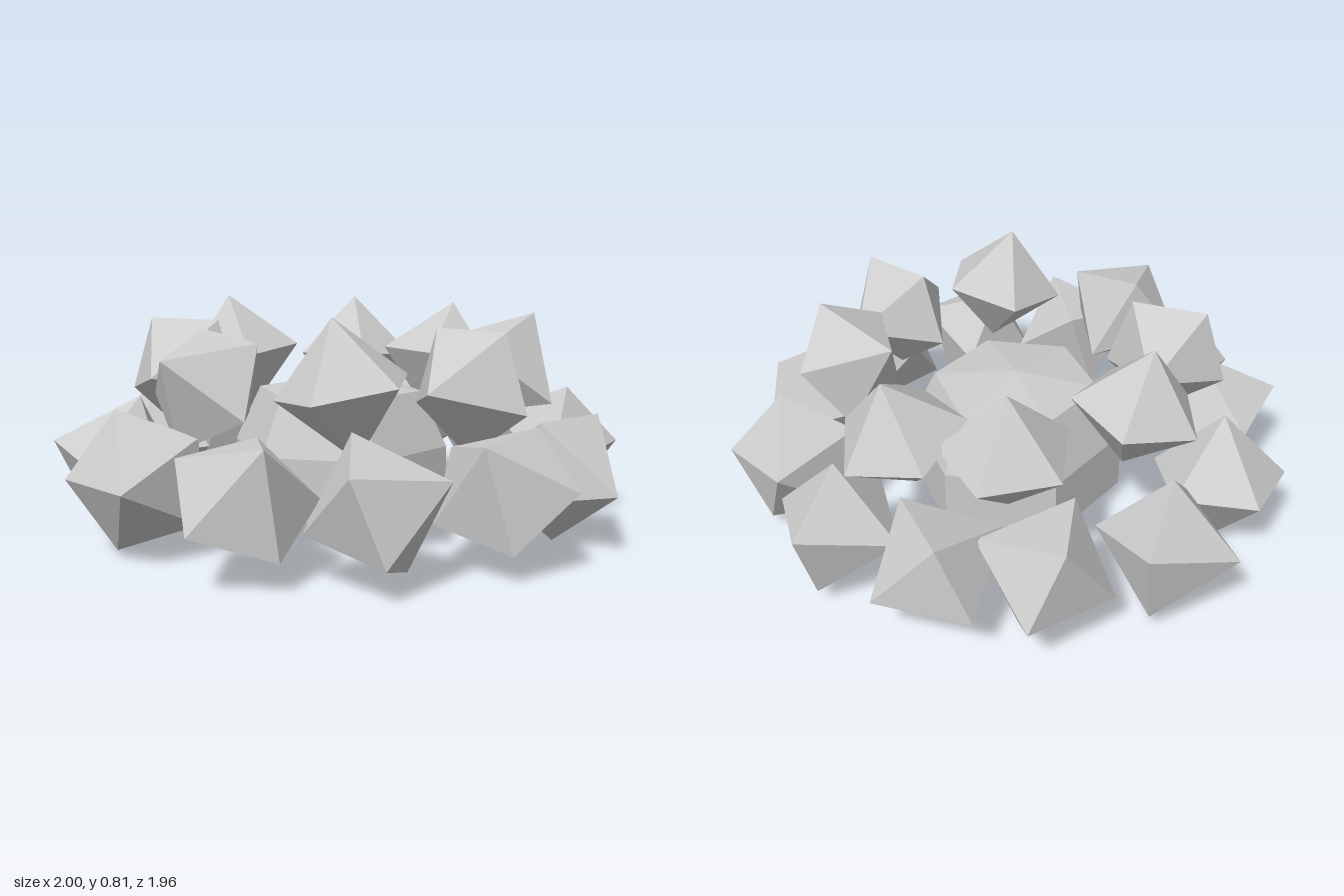
import * as THREE from 'three';

export function createModel() {
  const group = new THREE.Group();
  const stone = new THREE.MeshStandardMaterial({ color: 0xcccccc, flatShading: true });
  stone.name = 'stone grey';

  // Each stone is a five-sided bipyramid: centre, pole direction, one belt corner direction
  const stoneGeo = new THREE.SphereGeometry(1, 5, 2);
  function addStone(parent, name, r, [cx, cy, cz, px, py, pz, ex, ey, ez]) {
    const pole = new THREE.Vector3(px, py, pz).normalize();
    const side = new THREE.Vector3(-ex, -ey, -ez);
    side.addScaledVector(pole, -side.dot(pole)).normalize();
    const third = new THREE.Vector3().crossVectors(side, pole);
    const mesh = new THREE.Mesh(stoneGeo, stone);
    mesh.name = name;
    mesh.quaternion.setFromRotationMatrix(new THREE.Matrix4().makeBasis(side, pole, third));
    mesh.position.set(cx, cy, cz);
    mesh.scale.setScalar(r);
    parent.add(mesh);
  }

  // Outer ring, twelve stones on the ground
  const lower = [
    [-0.755, 0.26, -0.185, 0, 1, 0.1, -0.22, 0, 0.05],
    [-0.755, 0.26, 0.275, 0.07, 0.22, -0.02, -0.21, 0.07, 0.03],
    [-0.58, 0.265, 0.58, 0.1, 0.03, 1, -1, 0, 0],
    [-0.18, 0.27, 0.78, 0.095, 0.18, 0.14, -0.135, -0.09, 0.18],
    [0.225, 0.25, 0.77, 0.225, 0.09, 0, 0, 0, -1],
    [0.595, 0.27, 0.535, -0.05, 0.16, 0.17, 0.04, -0.175, 0.17],
    [0.79, 0.25, 0.195, 0.19, -0.04, 0.18, -0.05, -0.23, -0.05],
    [0.76, 0.27, -0.25, 0, 0.07, -0.22, 0.215, 0.02, 0],
    [0.53, 0.27, -0.58, 0.22, 0, 0.1, 0, 1, 0],
    [0.17, 0.27, -0.755, 0.185, -0.07, -0.11, -0.03, 0.19, -0.15],
    [-0.18, 0.28, -0.755, 0.22, 0.09, 0.01, -0.06, 0.2, -0.15],
    [-0.565, 0.27, -0.58, 0.21, 0, 0.06, 0, 1, 0.1],
  ];
  // Inner ring, eight stones resting on top
  const upper = [
    [-0.45, 0.59, -0.27, -0.04, 0.22, 0, 0.21, 0, -0.02],
    [-0.55, 0.57, 0.13, 0.05, 0, -0.2, 0, -1, 0],
    [-0.38, 0.56, 0.46, -0.095, 0.1, 0.17, 0.18, 0.13, -0.01],
    [0.1, 0.58, 0.585, -0.04, 0.23, 0.01, -0.22, -0.04, 0],
    [0.48, 0.565, 0.36, -0.12, 0, 0.19, 0, -1, 0],
    [0.58, 0.58, -0.045, 0.175, -0.11, 0.107, 0.1, 0.19, 0.035],
    [0.33, 0.56, -0.46, 0.04, 0.21, -0.04, -0.2, 0, 0.04],
    [-0.035, 0.57, -0.535, 0, 0.22, -0.02, 0.215, 0, 0],
  ];
  const lowerRing = new THREE.Group();
  lowerRing.name = 'lowerStoneRing';
  lower.forEach((row, i) => addStone(lowerRing, `lowerStone${i + 1}`, 0.246, row));
  const upperRing = new THREE.Group();
  upperRing.name = 'upperStoneRing';
  upper.forEach((row, i) => addStone(upperRing, `upperStone${i + 1}`, 0.232, row));

  // Central six-sided boulder: flat base, upright walls, sloped shoulder, low crown
  const profile = [[0, 0.08], [0.395, 0.08], [0.395, 0.3], [0.3, 0.5], [0, 0.54]]
    .map(([x, y]) => new THREE.Vector2(x, y));
  const boulder = new THREE.Mesh(new THREE.LatheGeometry(profile, 6, Math.PI / 2 - 0.06), stone);
  boulder.name = 'centreBoulder';
  boulder.position.set(-0.01, 0, 0);

  group.add(lowerRing, upperRing, boulder);
  return group;
}
